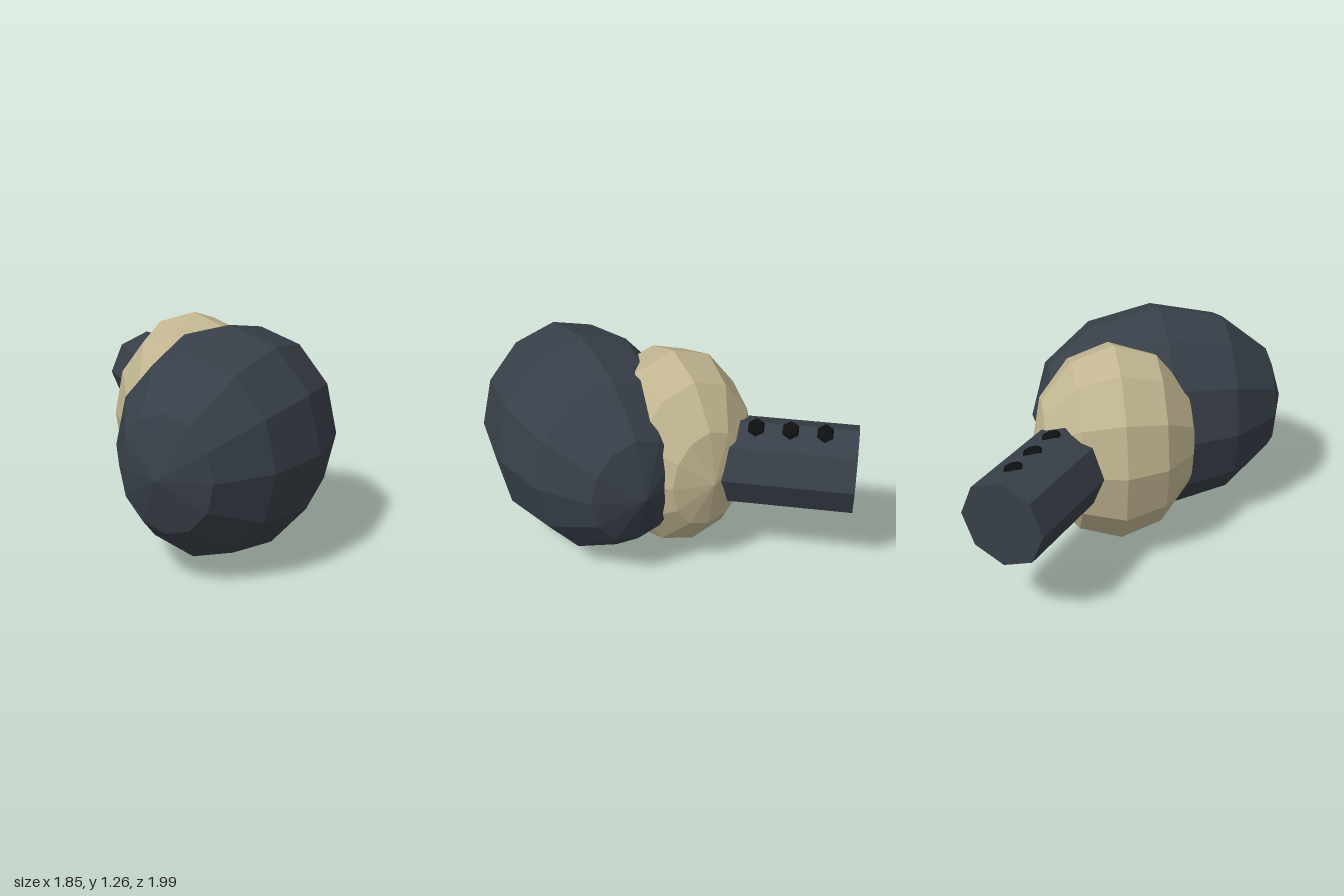
import * as THREE from 'three';

const material = (color) => new THREE.MeshStandardMaterial({ color, flatShading: true });

// Faceted ellipsoid with its poles on the z axis
function ellipsoid(name, mat, position, radii) {
  const geometry = new THREE.SphereGeometry(1, 12, 6);
  geometry.rotateX(Math.PI / 2);
  geometry.scale(...radii);
  const mesh = new THREE.Mesh(geometry, mat);
  mesh.name = name;
  mesh.position.set(...position);
  return mesh;
}

export function createModel() {
  const model = new THREE.Group();
  const dark = material(0x383f48);
  const cream = material(0xc2b691);
  const black = material(0x0e0f11);

  // Two overlapping rounded bodies
  model.add(ellipsoid('largeBody', dark, [0.38, 0.63, 0.235], [0.545, 0.63, 0.76]));
  model.add(ellipsoid('smallBody', cream, [-0.015, 0.63, -0.095], [0.45, 0.595, 0.475]));

  // Octagonal barrel; its outer end is the local origin, pointing along local +z
  const barrel = new THREE.Group();
  barrel.name = 'barrel';
  barrel.position.set(-0.775, 0.63, -0.805);
  barrel.rotation.y = Math.atan2(-0.787, -0.617);
  model.add(barrel);

  const length = 0.95;
  const tubeGeometry = new THREE.CylinderGeometry(0.247, 0.247, length, 8);
  tubeGeometry.rotateX(Math.PI / 2);
  const tube = new THREE.Mesh(tubeGeometry, dark);
  tube.name = 'barrelTube';
  tube.position.z = -length / 2;
  barrel.add(tube);

  // Three flattened studs above and three mirrored below, lying on one sloped face
  const studGeometry = new THREE.SphereGeometry(1, 6, 4);
  studGeometry.scale(0.065, 0.028, 0.052);
  for (const side of [1, -1]) {
    for (let i = 0; i < 3; i++) {
      const stud = new THREE.Mesh(studGeometry, black);
      stud.name = side > 0 ? 'upperStud' : 'lowerStud';
      stud.position.set(-0.035, side * 0.23, -0.182 - i * 0.187);
      stud.rotation.z = side * Math.PI / 8;
      barrel.add(stud);
    }
  }

  return model;
}
